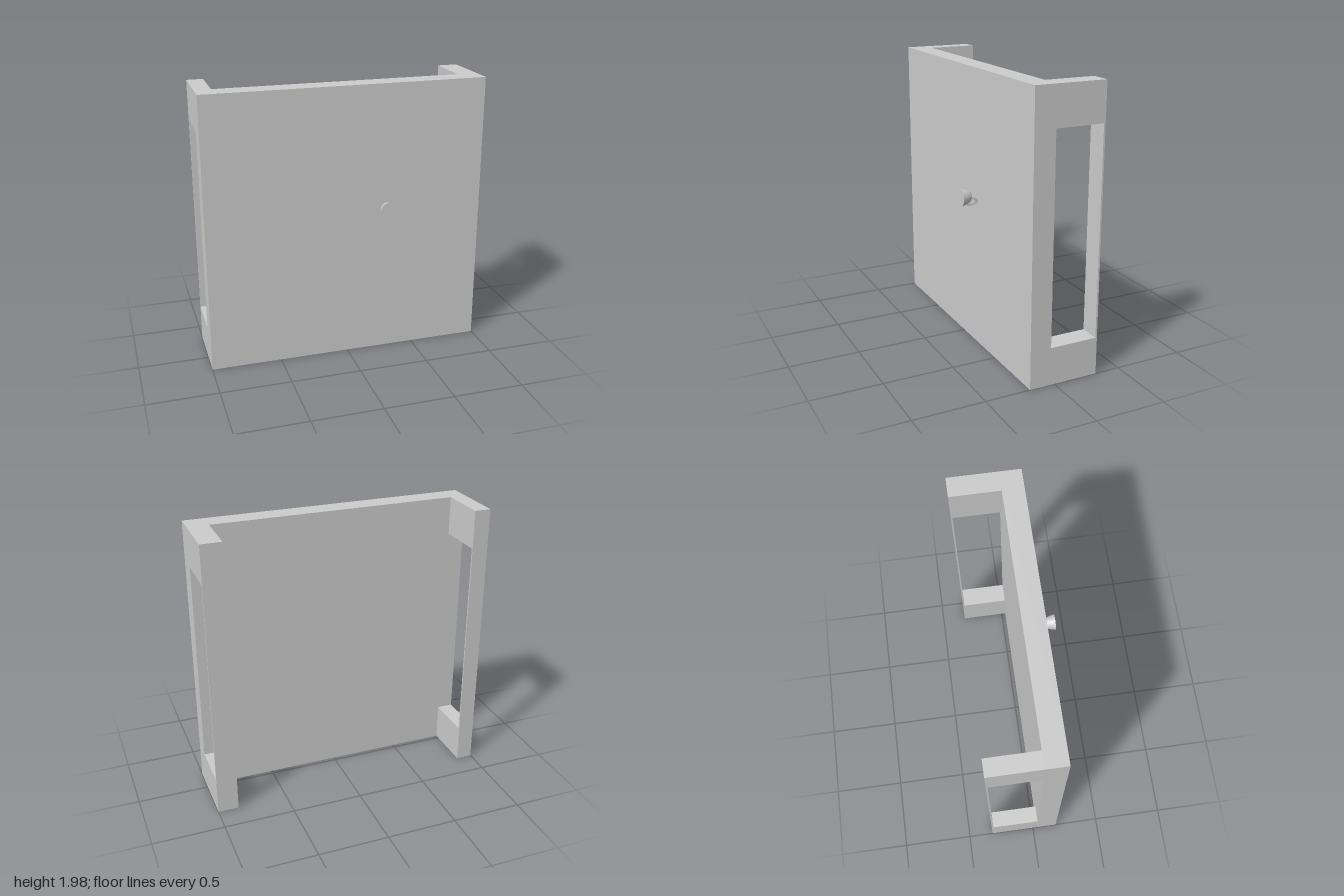
import * as THREE from 'three';

const HEIGHT = 1.975;
const BACK = -0.32, INNER = 0.03, FRONT = 0.18;
const SILL = 0.265, LINTEL = 1.705, STRIP = -0.308;

export function createModel() {
  const model = new THREE.Group();
  model.name = 'wallSection';
  const material = new THREE.MeshStandardMaterial({ color: 0xcccccc });
  const thinMaterial = new THREE.MeshStandardMaterial({ color: 0xcccccc, side: THREE.DoubleSide });

  function add(name, geometry, mat = material) {
    const mesh = new THREE.Mesh(geometry, mat);
    mesh.name = name;
    model.add(mesh);
    return mesh;
  }

  // Solid front panel
  add('frontPanel', new THREE.BoxGeometry(2, HEIGHT, FRONT - INNER))
    .position.set(0, HEIGHT / 2, (FRONT + INNER) / 2);

  // Side walls: a C-shaped outline leaves a tall opening against the front panel
  const outline = new THREE.Shape([
    [INNER, 0], [INNER, SILL], [STRIP, SILL], [STRIP, LINTEL],
    [INNER, LINTEL], [INNER, HEIGHT], [BACK, HEIGHT], [BACK, 0],
  ].map(([z, y]) => new THREE.Vector2(z, y)));

  function addSide(name, outerX, thickness) {
    const geometry = new THREE.ExtrudeGeometry(outline, { depth: thickness, bevelEnabled: false });
    geometry.rotateY(-Math.PI / 2);
    add(name, geometry).position.x = outerX > 0 ? outerX : outerX + thickness;
  }
  addSide('leftWall', 1, 0.145);
  addSide('rightWall', -1, 0.115);

  // Small tapered knob floating before the panel, wide flat face forward
  const profile = [[0, 0], [0.03, 0], [0.04, 0.012], [0.049, 0.04], [0.056, 0.07]]
    .map(([r, h]) => new THREE.Vector2(r, h));
  const knob = new THREE.LatheGeometry(profile, 32);
  knob.rotateX(Math.PI / 2);
  knob.scale(1, 1.11, 1);
  add('knob', knob, thinMaterial).position.set(0.255, 1.113, 0.25);

  const face = new THREE.CircleGeometry(0.056, 32);
  face.scale(1, 1.11, 1);
  add('knobFace', face).position.set(0.255, 1.113, 0.32);

  // Thin oval ring behind the knob
  const ring = new THREE.RingGeometry(0.03, 0.052, 32);
  ring.scale(1, 0.54, 1);
  ring.rotateY(Math.PI / 2);
  add('knobRing', ring, thinMaterial).position.set(0.265, 1.077, 0.247);

  return model;
}
